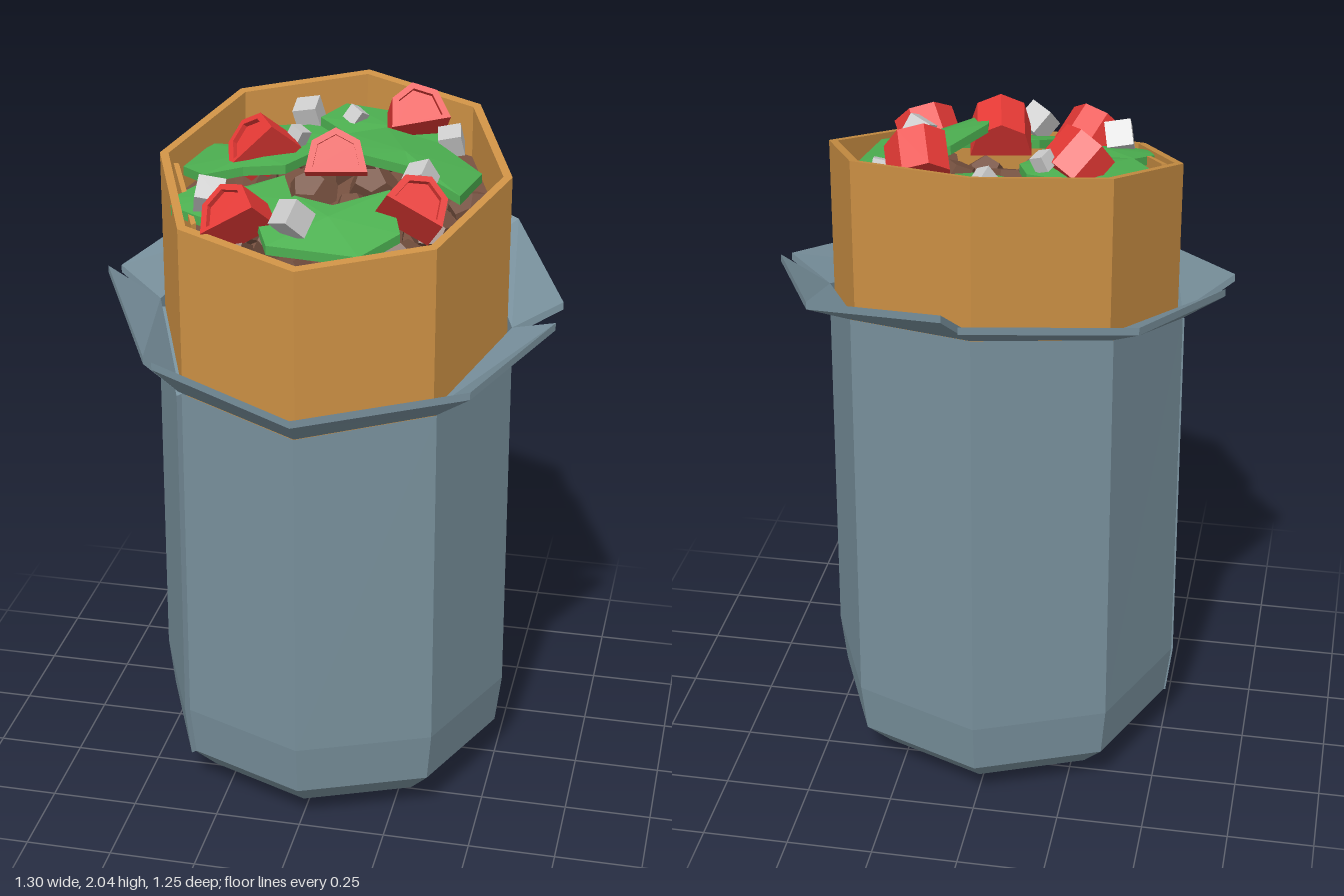
import * as THREE from 'three';

const V = (x, y, z) => new THREE.Vector3(x, y, z);
const mat = (color) => new THREE.MeshStandardMaterial({ color, flatShading: true });
const rad = THREE.MathUtils.degToRad;

// Point on the roll's outline: 0 = left (+x), 90 = back, 180 = right, 270 = front
const at = (r, deg, y) => V(r * Math.cos(rad(deg)), y, 0.02 - r * Math.sin(rad(deg)));
const foilTop = (p) => 1.4 - 0.26 * (p.z - 0.02);
const wrapTop = (p) => 1.872 - 0.247 * p.z;
const ring = (r, y, n = 8) => Array.from({ length: n }, (_, i) => at(r, (i * 360) / n, y));
const onSlope = (p, f, dy = 0) => V(p.x, f(p) + dy, p.z);

// Skin a row of closed cross-sections; ends get fan caps unless the row loops
function skin(sections, { loop = false, capStart = true, capEnd = true, dome = 0 } = {}) {
  const out = [];
  const tri = (...pts) => pts.forEach((p) => out.push(p.x, p.y, p.z));
  const count = sections.length;
  const n = sections[0].length;
  for (let i = 0; i < (loop ? count : count - 1); i++) {
    const s = sections[i], t = sections[(i + 1) % count];
    for (let j = 0; j < n; j++) {
      const k = (j + 1) % n;
      tri(s[j], s[k], t[k]);
      tri(s[j], t[k], t[j]);
    }
  }
  const cap = (s, flip) => {
    const c = s.reduce((a, p) => a.add(p), V(0, 0, 0)).divideScalar(n);
    c.y += dome;
    s.forEach((p, j) => (flip ? tri(c, s[(j + 1) % n], p) : tri(c, p, s[(j + 1) % n])));
  };
  if (!loop && capStart) cap(sections[0], true);
  if (!loop && capEnd) cap(sections[count - 1], false);
  const g = new THREE.BufferGeometry();
  g.setAttribute('position', new THREE.Float32BufferAttribute(out, 3));
  g.computeVertexNormals();
  return g;
}

function add(parent, name, geometry, material) {
  const m = new THREE.Mesh(geometry, material);
  m.name = name;
  parent.add(m);
  return m;
}

// Collar panels: angles along the foil's top edge and the matching outer corners
const COLLAR = [
  ['collarBackLeft', [0, 45, 90], [[0.65, 1.51, 0.01], [0.46, 1.58, -0.43], [0.05, 1.67, -0.63]]],
  ['collarBackRight', [90, 135, 180], [[0.01, 1.63, -0.61], [-0.44, 1.58, -0.43], [-0.63, 1.51, 0]]],
  ['collarFrontRight', [180, 225], [[-0.65, 1.53, 0.06], [-0.44, 1.43, 0.44]]],
  ['collarFront', [225, 270, 315, 360],
    [[-0.42, 1.41, 0.43], [0.01, 1.365, 0.62], [0.46, 1.41, 0.44], [0.64, 1.48, 0.09]]],
];

// Leaves: centre height, slope along x, slope along z, outline as x, z pairs
const LEAVES = [
  [1.84, 0, -0.1, [[-0.35, -0.27], [-0.19, -0.32], [-0.1, -0.38], [-0.03, -0.25], [-0.1, -0.14], [-0.27, -0.14]]],
  [1.87, -0.1, -0.1, [[-0.1, -0.27], [-0.05, -0.39], [0.17, -0.39], [0.26, -0.3], [0.25, -0.14], [0.17, -0.19], [0.02, -0.17]]],
  [1.84, 0.12, 0, [[-0.4, -0.18], [-0.22, -0.13], [-0.09, -0.14], [-0.06, -0.08], [-0.13, 0.05], [-0.25, 0.05], [-0.35, 0.1], [-0.43, 0.02]]],
  [1.89, -0.33, -0.05, [[0.04, 0], [0.12, -0.13], [0.26, -0.16], [0.4, -0.07], [0.37, 0.12], [0.22, 0.06], [0.1, 0.1], [0.05, 0.08]]],
  [1.8, 0, -0.2, [[-0.41, 0.22], [-0.35, 0.13], [-0.22, 0.13], [-0.13, 0.06], [-0.08, 0.18], [-0.17, 0.32], [-0.31, 0.3], [-0.4, 0.26]]],
  [1.79, -0.05, -0.33, [[-0.15, 0.31], [-0.07, 0.2], [0.04, 0.22], [0.18, 0.13], [0.24, 0.3], [0.15, 0.41], [-0.1, 0.41]]],
];

// Tomato wedges: position, then rotation in degrees
const TOMATOES = [
  [0.18, 1.94, -0.24, -40, 15, 20],
  [-0.22, 1.88, -0.05, -50, -35, 30],
  [0.02, 1.91, 0.08, -25, 10, 5],
  [0.26, 1.83, 0.21, -50, 25, -15],
  [-0.2, 1.81, 0.32, -45, -25, 20],
];

// Cubes: position, size
const CUBES = [
  [-0.15, 1.89, -0.34, 0.07], [0, 1.91, -0.285, 0.045], [0.29, 1.88, -0.21, 0.065],
  [-0.13, 1.9, -0.11, 0.045], [0.26, 1.88, 0.11, 0.065], [-0.29, 1.84, 0.26, 0.075], [-0.04, 1.83, 0.36, 0.075],
];

function leaf([h, sx, sz, outline]) {
  const pts = outline.slice().reverse();
  const cx = pts.reduce((a, p) => a + p[0], 0) / pts.length;
  const cz = pts.reduce((a, p) => a + p[1], 0) / pts.length;
  const layer = (dy) => pts.map(([x, z]) => V(x, h + dy + sx * (x - cx) + sz * (z - cz), z));
  return skin([layer(-0.013), layer(0.013)], { dome: 0.012 });
}

// Wedge with a raised rim around a sunken cut face
function tomatoWedge(material) {
  const g = new THREE.Group();
  const corners = [[-0.085, -0.045], [0.085, -0.045], [0.065, 0.04], [0, 0.075], [-0.065, 0.04]];
  const outline = (s) => corners.map(([x, y]) => new THREE.Vector2(x * s, y * s));
  const rim = new THREE.Shape(outline(1));
  rim.holes.push(new THREE.Path(outline(0.75)));
  const extrude = (shape, depth) =>
    new THREE.ExtrudeGeometry(shape, { depth, bevelEnabled: false }).translate(0, 0, -0.06);
  add(g, 'tomatoSkin', extrude(rim, 0.12), material);
  add(g, 'tomatoFlesh', extrude(new THREE.Shape(outline(0.76)), 0.105), material);
  return g;
}

export function createModel() {
  const model = new THREE.Group();
  const foil = mat(0x78909c), bread = mat(0xcc9044), meat = mat(0x75503f);
  const green = mat(0x4caf50), red = mat(0xe53935), grey = mat(0xcccccc);
  foil.side = THREE.DoubleSide;

  // Foil sleeve with a rounded base and slanted top
  const rings = [[0.1, 0], [0.42, 0.05], [0.5, 0.13], [0.518, 0.28]].map(([r, y]) => ring(r, y));
  rings.push(ring(0.512, 0).map((p) => onSlope(p, foilTop)));
  add(model, 'foilSleeve', skin(rings, { capEnd: false }), foil);

  // Overlapping foil edge on one front panel
  const seam = [[0.505, 0.13], [0.523, 0.28], [0.517, null]].map(([r, y]) =>
    [[r, 180], [r + 0.006, 226.5], [r - 0.03, 226.5], [r - 0.03, 180]].map(([q, a]) => {
      const p = at(q, a, y ?? 0);
      return y === null ? onSlope(p, foilTop) : p;
    }));
  add(model, 'foilSeam', skin(seam), foil);

  // Folded-out foil collar
  for (const [name, angles, outer] of COLLAR) {
    const sections = angles.map((a, i) => {
      const p = at(0.51, a, 0);
      const [x, y, z] = outer[i];
      return [onSlope(p, foilTop), onSlope(p, foilTop, 0.025), V(x, y, z), V(x, y - 0.022, z)];
    });
    add(model, name, skin(sections), foil);
  }

  // Hollow flatbread wrap with a slanted rim
  const wall = ring(0.497, 0).map((p, i) => {
    const q = at(0.472, i * 45, 0);
    return [V(q.x, 1.1, q.z), onSlope(q, wrapTop), onSlope(p, wrapTop), V(p.x, 1.1, p.z)];
  });
  add(model, 'wrap', skin(wall, { loop: true }), bread);
  const flap = [184, 224].map((a) => {
    const p = at(0.45, a, 0), q = at(0.435, a, 0);
    return [V(q.x, 1.5, q.z), onSlope(q, wrapTop, -0.01), onSlope(p, wrapTop, -0.01), V(p.x, 1.5, p.z)];
  });
  add(model, 'wrapInnerEnd', skin(flap), bread);

  // Filling bed with lumps
  const bed = [-0.25, 0].map((dy) => ring(0.474, 0).map((p) => V(p.x, 1.73 - 0.23 * p.z + dy, p.z)));
  add(model, 'fillingBed', skin(bed), meat);
  let seed = 7;
  const rnd = () => (seed = (seed * 16807) % 2147483647) / 2147483647;
  for (let i = 0; i < 22; i++) {
    const p = at(0.38 * Math.sqrt((i + 0.5) / 22), i * 137.5, 0);
    const lump = add(model, 'fillingLump', new THREE.DodecahedronGeometry(0.065 + 0.025 * rnd()), meat);
    lump.position.set(p.x, 1.74 - 0.23 * p.z, p.z);
    lump.scale.set(1, 0.75, 0.9);
    lump.rotation.set(rnd() * 3, rnd() * 3, rnd() * 3);
  }

  // Toppings
  LEAVES.forEach((l) => add(model, 'lettuceLeaf', leaf(l), green));
  for (const [x, y, z, ...turn] of TOMATOES) {
    const t = tomatoWedge(red);
    t.name = 'tomatoWedge';
    t.position.set(x, y, z);
    t.rotation.set(...turn.map(rad));
    model.add(t);
  }
  CUBES.forEach(([x, y, z, s], i) => {
    const c = add(model, 'cheeseCube', new THREE.BoxGeometry(s, s, s), grey);
    c.position.set(x, y, z);
    c.rotation.set(0.3 + i * 0.4, i * 0.9, 0.2 + i * 0.3);
  });
  return model;
}
